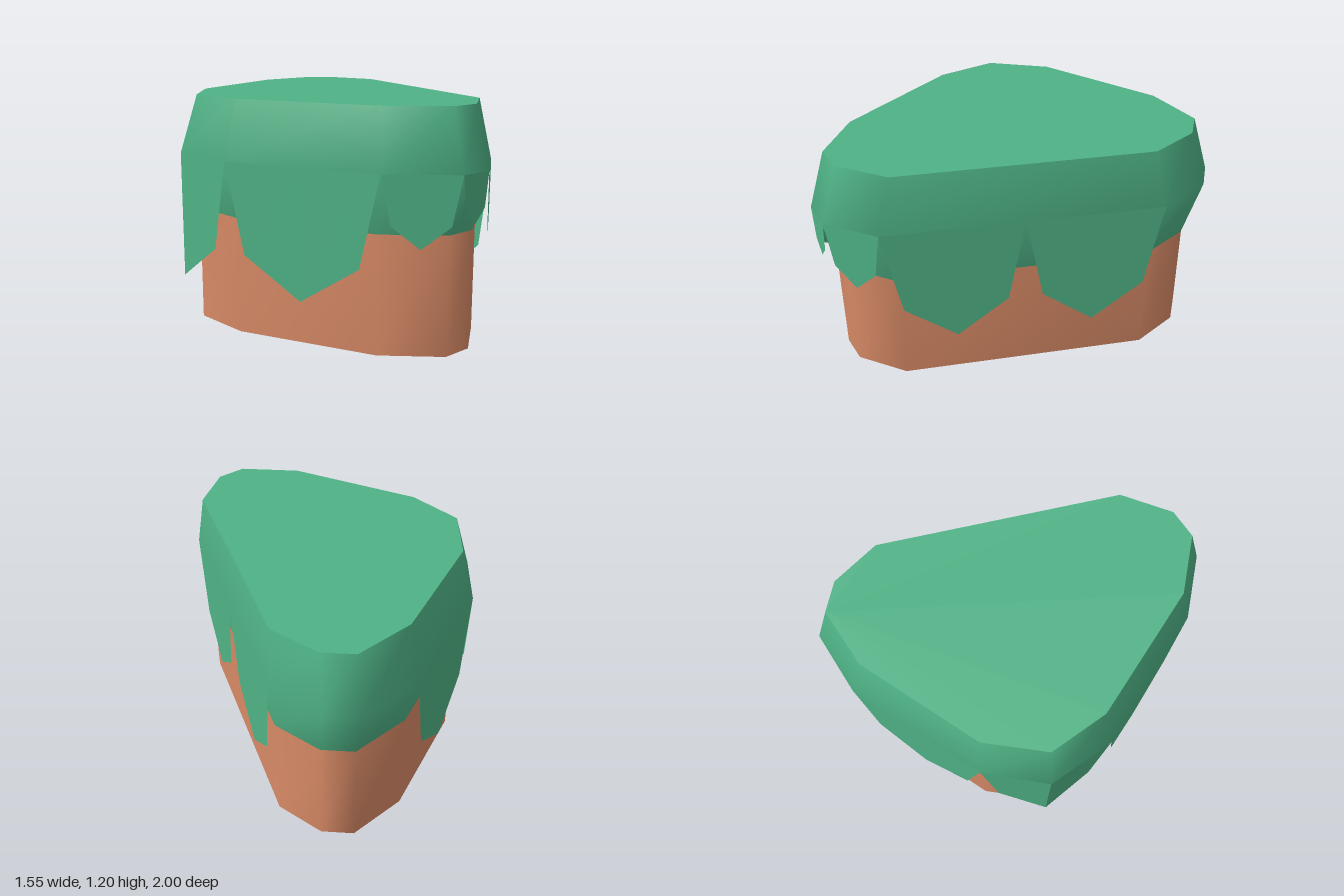
import * as THREE from 'three';

// Outlines seen from above as [x, z], starting at the back and going round by +x
const inner = [[-0.07, -0.91], [0.10, -0.89], [0.32, -0.71], [0.72, 0.53], [0.64, 0.81], [0.51, 0.91],
  [0.18, 0.87], [-0.48, 0.51], [-0.69, 0.26], [-0.67, -0.08], [-0.33, -0.70]];
const outer = [[-0.09, -1.0], [0.09, -0.98], [0.34, -0.78], [0.775, 0.59], [0.69, 0.89], [0.55, 0.995],
  [0.18, 0.95], [-0.54, 0.57], [-0.78, 0.28], [-0.75, -0.08], [-0.375, -0.78]];

const mix = (a, b, t) => [a[0] + (b[0] - a[0]) * t, a[1] + (b[1] - a[1]) * t];

function geometry(positions, index) {
  const g = new THREE.BufferGeometry();
  g.setAttribute('position', new THREE.Float32BufferAttribute(positions, 3));
  g.setIndex(index);
  return g;
}

// Smooth wall through a stack of [outline, height], lowest first
function wall(levels) {
  const n = inner.length, pos = [], idx = [];
  for (const [ring, y] of levels) for (const [x, z] of ring) pos.push(x, y, z);
  for (let l = 0; l < levels.length - 1; l++) {
    for (let i = 0; i < n; i++) {
      const a = l * n + i, b = l * n + (i + 1) % n;
      idx.push(a, a + n, b, b, a + n, b + n);
    }
  }
  const g = geometry(pos, idx);
  g.computeVertexNormals();
  return g;
}

// Flat cap over the convex outline
function cap(ring, y, up) {
  const pos = [], idx = [];
  for (const [x, z] of ring) pos.push(x, y, z);
  for (let i = 1; i < ring.length - 1; i++) idx.push(0, ...(up ? [i + 1, i] : [i, i + 1]));
  const g = geometry(pos, idx);
  g.computeVertexNormals();
  return g;
}

// Pointed flap hanging from the lip between a and b, its tip below m
function flap(a, m, b, sideY, tipY) {
  const top = 0.9, p = mix(a, m, 0.25), q = mix(b, m, 0.25);
  const pts = [[a, top], [p, top], [m, top], [q, top], [b, top], [p, sideY], [m, tipY], [q, sideY]];
  const idx = [0, 1, 5, 5, 1, 6, 6, 1, 2, 6, 2, 7, 7, 2, 3, 7, 3, 4];
  const g = geometry(pts.flatMap(([[x, z], y]) => [x, y, z]), idx).toNonIndexed();
  g.computeVertexNormals();
  return g;
}

export function createModel() {
  const group = new THREE.Group();
  const grass = new THREE.MeshStandardMaterial({ color: 0x4fb386, side: THREE.DoubleSide });
  grass.name = 'grass green';
  const dirt = new THREE.MeshStandardMaterial({ color: 0xd88a66 });
  dirt.name = 'dirt brown';
  const add = (name, geo, mat) => {
    const mesh = new THREE.Mesh(geo, mat);
    mesh.name = name;
    group.add(mesh);
  };

  // Dirt block
  add('dirtWall', wall([[inner, 0], [inner, 0.6]]), dirt);
  add('dirtBottom', cap(inner, 0, false), dirt);

  // Grass cover bulging out to a lip
  add('grassRim', wall([[inner, 0.6], [outer, 0.9], [inner, 1.2]]), grass);
  add('grassTop', cap(inner, 1.2, true), grass);

  // Hanging flaps: start, tip and end on the lip, then shoulder and tip heights
  const o = outer, half = mix(o[2], o[3], 0.5);
  const straight = (a, b, s, t) => [a, mix(a, b, 0.5), b, s, t];
  const flaps = [
    straight(o[2], half, 0.44, 0.24),
    straight(half, o[3], 0.44, 0.24),
    straight(o[3], o[4], 0.66, 0.55),
    straight(o[4], o[5], 0.73, 0.66),
    straight(o[5], o[6], 0.66, 0.55),
    straight(o[6], o[7], 0.44, 0.24),
    [o[7], o[8], o[9], 0.44, 0.24], // folds round the corner
    straight(o[9], o[10], 0.44, 0.24),
  ];
  flaps.forEach((f, i) => add('grassFlap' + (i + 1), flap(...f), grass));
  return group;
}
